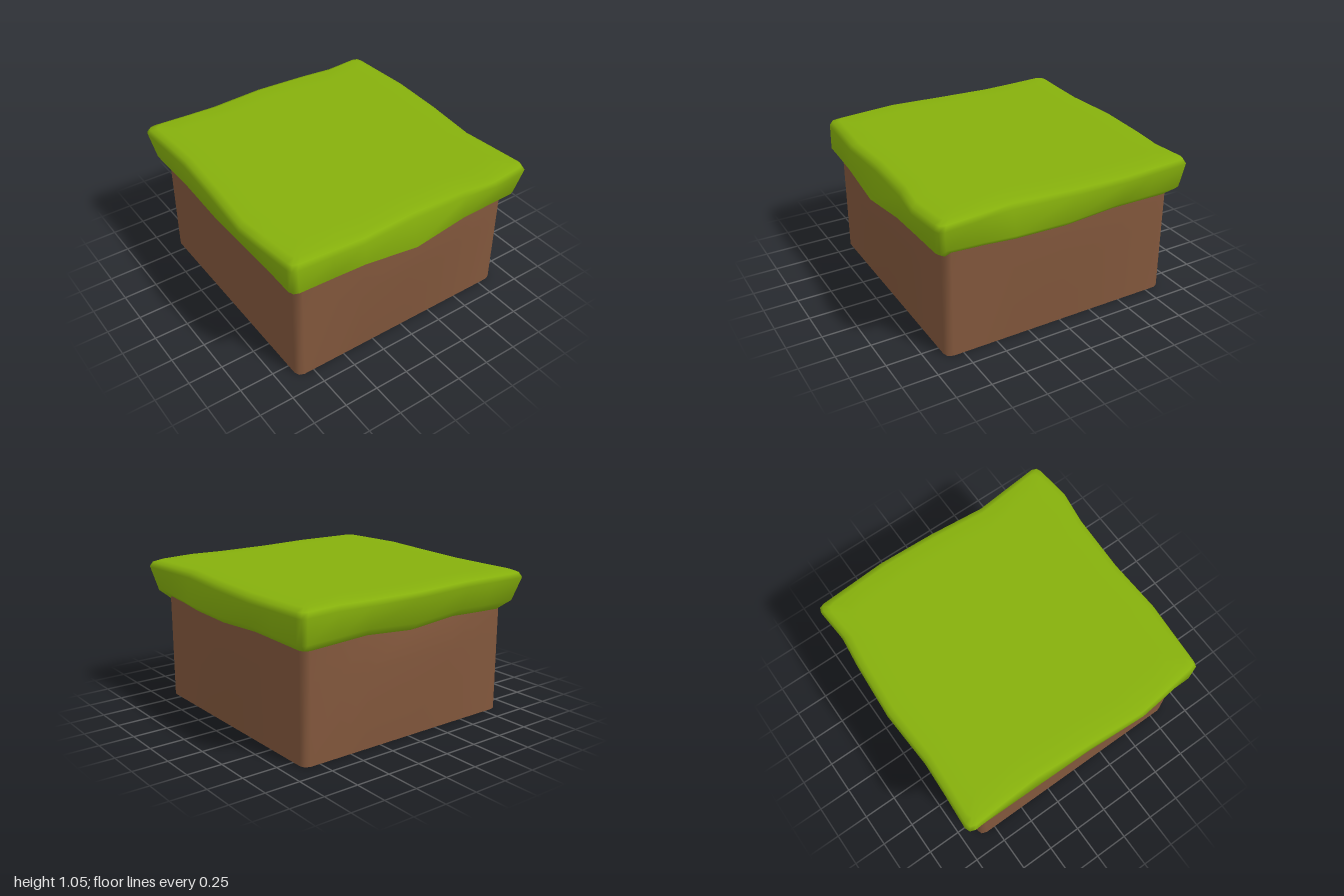
import * as THREE from 'three';

const SIDES = 4;
const R = 0.05; // corner rounding
const F = [-1, -0.72, -0.46, 0, 0.46, 0.72, 1]; // stations along each side

// Closed outline. off[k][i]: distance of side k (front, right, back, left) from
// the centre at station i; y[k][i]: height there. Runs anticlockwise from above.
function ring(off, y, inset = 0) {
  const points = [];
  for (let k = 0; k < SIDES; k++) {
    const prev = off[(k + 3) % SIDES], next = off[(k + 1) % SIDES];
    const start = prev[6] - inset - R, end = next[0] - inset - R;
    const angle = k * Math.PI / 2;
    const add = (along, out, h) => points.push(
      new THREE.Vector3(along, h, out).applyAxisAngle(new THREE.Vector3(0, 1, 0), angle));
    F.forEach((f, i) => add(f * (f < 0 ? start : end), off[k][i] - inset, y[k][i]));
    add(end + R * 0.72, off[k][6] - inset - R * 0.28, y[k][6]);
  }
  return points;
}

const flat = (v) => Array.from({ length: SIDES }, () => F.map(() => v));
// Sides that swell from an edge value to a peak in the middle
const swell = (edge, peaks) => peaks.map((p) =>
  F.map((f) => edge + (p - edge) * Math.pow(Math.cos(f * Math.PI / 2), 1.3)
    * (Math.abs(f) < 1 ? 1 : 0)));

// Smooth skin through the rings, optionally closed by a centre point
function loft(rings, cap) {
  const n = rings[0].length, points = rings.flat(), index = [];
  for (let r = 0; r < rings.length - 1; r++) {
    for (let i = 0; i < n; i++) {
      const j = (i + 1) % n, a = r * n + i, b = r * n + j;
      index.push(a, b, b + n, a, b + n, a + n);
    }
  }
  if (cap) {
    const base = (rings.length - 1) * n;
    points.push(cap);
    for (let i = 0; i < n; i++) index.push(base + i, base + (i + 1) % n, points.length - 1);
  }
  const geometry = new THREE.BufferGeometry().setFromPoints(points);
  geometry.setIndex(index);
  geometry.computeVertexNormals();
  return geometry;
}

export function createModel() {
  const group = new THREE.Group();
  group.name = 'grassBlock';
  const grass = new THREE.MeshStandardMaterial({ color: 0x86b00c, side: THREE.DoubleSide });
  grass.name = 'grass green';
  const earth = new THREE.MeshStandardMaterial({ color: 0x82573c, side: THREE.DoubleSide });
  earth.name = 'earth brown';

  // Wavy outer edge of the turf
  const rim = [
    [0.93, 0.945, 0.96, 0.94, 0.955, 0.99, 0.965],
    [0.985, 0.96, 0.935, 0.97, 0.985, 0.97, 0.955],
    [0.965, 0.945, 0.97, 0.995, 0.97, 0.98, 0.995],
    [0.965, 0.95, 0.94, 0.965, 0.995, 0.97, 0.94],
  ];
  // Height of the drooping hem
  const hemY = [
    [0.765, 0.775, 0.785, 0.74, 0.785, 0.77, 0.755],
    [0.78, 0.775, 0.765, 0.765, 0.785, 0.775, 0.765],
    [0.765, 0.775, 0.785, 0.755, 0.785, 0.775, 0.765],
    [0.765, 0.775, 0.785, 0.765, 0.77, 0.775, 0.765],
  ];
  const raised = (d) => hemY.map((side) => side.map((v) => v + d));
  const hemIn = ring(swell(0.872, [0.93, 0.91, 0.875, 0.872]), hemY);
  const hemOut = ring(swell(0.935, [0.99, 0.975, 0.94, 0.945]), raised(0.06));

  // Open-bottomed earth walls
  const walls = new THREE.Mesh(loft([
    ring(flat(0.873), flat(0)),
    ring(swell(0.872, [0.93, 0.91, 0.91, 0.872]), flat(0.55)),
    hemIn,
  ]), earth);
  walls.name = 'earthWalls';

  // Turf: hem, side, rounded rim and flat top
  const turf = new THREE.Mesh(loft([
    hemIn,
    hemOut,
    ring(rim, flat(1.0)),
    ring(rim, flat(1.035), 0.018),
    ring(rim, flat(1.053), 0.06),
    ring(rim, flat(1.053), 0.2),
  ], new THREE.Vector3(0, 1.053, 0)), grass);
  turf.name = 'turf';

  group.add(walls, turf);
  return group;
}
